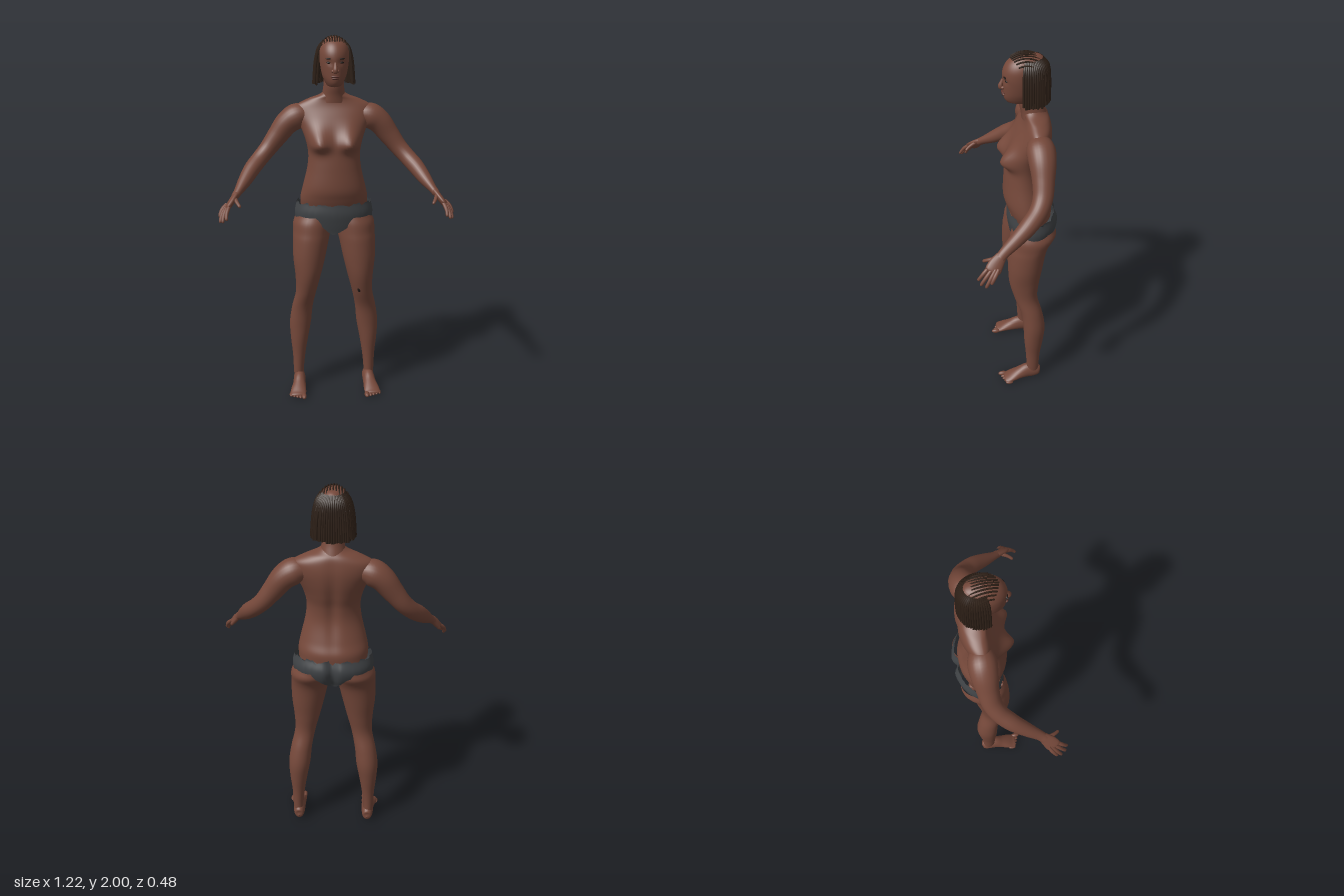
import * as THREE from 'three';

const mat = (name, color, side = THREE.FrontSide) => {
  const m = new THREE.MeshStandardMaterial({ color, side });
  m.name = name;
  return m;
};
const V = (a) => new THREE.Vector3(...a);
const gauss = (d, s) => Math.exp(-((d / s) ** 2));

// Surface wrapped around u (0..1), running along v (0..1)
function wrap(cols, rows, fn) {
  const pos = [], idx = [];
  for (let r = 0; r <= rows; r++)
    for (let c = 0; c < cols; c++) pos.push(...fn(c / cols, r / rows));
  for (let r = 0; r < rows; r++)
    for (let c = 0; c < cols; c++) {
      const a = r * cols + c, b = r * cols + ((c + 1) % cols);
      idx.push(a, b, a + cols, b, b + cols, a + cols);
    }
  const g = new THREE.BufferGeometry();
  g.setAttribute('position', new THREE.Float32BufferAttribute(pos, 3));
  g.setIndex(idx);
  g.computeVertexNormals();
  return g;
}

const curve = (list) => new THREE.CatmullRomCurve3(list, false, 'catmullrom', 0.5);

// Level sections [y, cx, cz, halfWidth, depthFront, depthBack]
function loft(sections, cols = 40, rows = 50, rule = (p) => p) {
  const mid = curve(sections.map((s) => V([s[1], s[0], s[2]])));
  const rad = curve(sections.map((s) => V([s[3], s[4], s[5]])));
  return wrap(cols, rows, (u, v) => {
    const a = u * Math.PI * 2, c = mid.getPoint(v), r = rad.getPoint(v);
    const depth = Math.max(0.0005, Math.cos(a) > 0 ? r.y : r.z);
    return rule([c.x + Math.max(0.0005, r.x) * Math.sin(a), c.y, c.z + depth * Math.cos(a)], Math.cos(a));
  });
}

// Path with sections [x, y, z, radiusAcross, radiusUp]
function limb(sections, ref = [0, 1, 0], cols = 18, rows = 32) {
  const mid = curve(sections.map((s) => V(s.slice(0, 3))));
  const rad = curve(sections.map((s) => V([s[3], s[4] ?? s[3], 0])));
  return wrap(cols, rows, (u, v) => {
    const a = u * Math.PI * 2, t = mid.getTangent(v), r = rad.getPoint(v);
    const side = V(ref).cross(t).normalize(), up = t.clone().cross(side);
    return mid.getPoint(v)
      .addScaledVector(side, Math.cos(a) * Math.max(0.0004, r.x))
      .addScaledVector(up, Math.sin(a) * Math.max(0.0004, r.y)).toArray();
  });
}

function blob(center, radii) {
  const g = new THREE.SphereGeometry(1, 18, 12);
  return g.scale(...radii).translate(...center);
}

function mirrored(geo) {
  const g = geo.clone().scale(-1, 1, 1), i = g.index.array;
  for (let k = 0; k < i.length; k += 3) [i[k], i[k + 1]] = [i[k + 1], i[k]];
  g.computeVertexNormals();
  return g;
}

export function createModel() {
  const model = new THREE.Group();
  model.name = 'figure';
  const skin = mat('skin', 0x75483a), hair = mat('hair', 0x2e2017, THREE.DoubleSide);
  const cloth = mat('cloth', 0x3f4245, THREE.DoubleSide);
  const lips = mat('lips', 0x5e352d), dark = mat('dark detail', 0x1d1613);
  const add = (name, geo, m = skin) => {
    const mesh = new THREE.Mesh(geo, m);
    mesh.name = name;
    model.add(mesh);
  };
  const pair = (name, geo, m = skin) => {
    add('left ' + name, geo, m);
    add('right ' + name, mirrored(geo), m);
  };

  // Torso, with chest volume and a spine groove
  add('torso', loft([
    [1.09, 0, -0.09, 0.18, 0.1, 0.12], [1.14, 0, -0.08, 0.182, 0.108, 0.13],
    [1.2, 0, -0.07, 0.17, 0.113, 0.117], [1.3, 0, -0.06, 0.146, 0.1, 0.1],
    [1.38, 0, -0.06, 0.138, 0.095, 0.102], [1.45, 0, -0.07, 0.15, 0.1, 0.11],
    [1.52, 0, -0.09, 0.175, 0.092, 0.105], [1.58, 0, -0.105, 0.2, 0.078, 0.095],
    [1.63, 0, -0.11, 0.2, 0.058, 0.085], [1.665, 0, -0.11, 0.14, 0.05, 0.075],
    [1.69, 0, -0.105, 0.075, 0.05, 0.06], [1.72, 0, -0.1, 0.04, 0.04, 0.045],
  ], 64, 70, ([x, y, z], front) => {
    if (front > 0) z += 0.05 * gauss(Math.abs(x) - 0.085, 0.05) * gauss(y - 1.44, y > 1.44 ? 0.075 : 0.036) * Math.min(1, front * 2);
    else z += 0.016 * gauss(x, 0.03) * gauss(y - 1.4, 0.2);
    return [x, y, z];
  }));

  // Neck and head
  add('neck', loft([
    [1.65, 0, -0.11, 0.075, 0.06, 0.075], [1.69, 0, -0.105, 0.062, 0.06, 0.065],
    [1.74, 0, -0.095, 0.054, 0.06, 0.06], [1.82, 0, -0.085, 0.052, 0.05, 0.06],
  ], 28, 14));
  add('head', loft([
    [1.734, 0, -0.04, 0.004, 0.004, 0.004], [1.742, 0, -0.045, 0.034, 0.058, 0.05],
    [1.755, 0, -0.05, 0.045, 0.08, 0.06], [1.775, 0, -0.05, 0.055, 0.088, 0.07],
    [1.8, 0, -0.05, 0.064, 0.09, 0.09], [1.84, 0, -0.05, 0.072, 0.092, 0.115],
    [1.88, 0, -0.05, 0.076, 0.095, 0.125], [1.92, 0, -0.055, 0.075, 0.093, 0.12],
    [1.955, 0, -0.062, 0.062, 0.078, 0.1], [1.98, 0, -0.07, 0.038, 0.048, 0.066],
    [1.992, 0, -0.075, 0.002, 0.002, 0.002],
  ], 40, 44, ([x, y, z], front) => {
    // Eye sockets
    if (front > 0) z -= 0.008 * gauss(Math.abs(x) - 0.03, 0.016) * gauss(y - 1.866, 0.014);
    return [x, y, z];
  }));
  add('nose', limb([
    [0, 1.872, 0.036, 0.005], [0, 1.85, 0.045, 0.009], [0, 1.83, 0.051, 0.013],
    [0, 1.819, 0.046, 0.012], [0, 1.813, 0.04, 0.001],
  ], [0, 0, 1], 14, 16));
  pair('nostril', blob([0.012, 1.824, 0.041], [0.009, 0.008, 0.011]));
  add('upper lip', blob([0, 1.796, 0.039], [0.023, 0.006, 0.01]), lips);
  add('lower lip', blob([0, 1.787, 0.037], [0.02, 0.007, 0.01]), lips);
  pair('eye', blob([0.03, 1.866, 0.027], [0.014, 0.006, 0.006]), dark);
  pair('eyebrow', blob([0.031, 1.886, 0.034], [0.018, 0.004, 0.006]), dark);

  // Hair: cornrows over the scalp, then two layers of hanging braids
  for (let k = -5; k <= 5; k++) {
    const x = k * 0.0125, w = Math.sqrt(1 - (x / 0.083) ** 2), pts = [];
    for (let i = 0; i <= 8; i++) {
      const a = THREE.MathUtils.lerp(0.92 + Math.abs(k) * 0.03, 3.0, i / 8);
      pts.push(V([x * (1 + 0.25 * i / 8), 1.882 + 0.111 * w * Math.sin(a), -0.065 + 0.118 * w * Math.cos(a)]));
    }
    add('cornrow', new THREE.TubeGeometry(curve(pts), 18, 0.0045, 5), hair);
  }
  let seed = 7;
  const rand = () => (seed = (seed * 16807) % 2147483647) / 2147483647;
  for (let layer = 0; layer < 2; layer++)
    for (let i = 0; i <= 34; i++) {
      const a = THREE.MathUtils.lerp(1.2, Math.PI * 2 - 1.2, (i + layer * 0.5) / 34.5);
      const s = Math.sin(a), c = Math.cos(a), o = 1 - layer * 0.09;
      const at = (r, y, d) => V([s * r * o, y, -0.085 + c * d * o]);
      const jitter = (rand() - 0.5) * 0.006;
      add('braid', new THREE.TubeGeometry(curve([
        at(0.052, 1.968 - layer * 0.02, 0.062), at(0.082, 1.93, 0.092), at(0.096 + jitter, 1.87, 0.1),
        at(0.103 + jitter, 1.8, 0.102), at(0.106 + jitter, 1.742 + rand() * 0.014, 0.102),
      ]), 14, 0.0062, 5), hair);
    }
  const curtain = new THREE.CylinderGeometry(0.082, 0.094, 0.14, 32, 1, true, 1.25, Math.PI * 2 - 2.5);
  add('hair curtain', curtain.translate(0, 1.82, -0.085), hair);

  // Arms
  pair('arm', limb([
    [0.13, 1.585, -0.115, 0.045, 0.05], [0.19, 1.575, -0.118, 0.068, 0.07], [0.245, 1.54, -0.12, 0.064, 0.068],
    [0.3, 1.47, -0.117, 0.055, 0.056], [0.35, 1.405, -0.108, 0.047, 0.05], [0.395, 1.355, -0.08, 0.044, 0.046],
    [0.437, 1.31, -0.03, 0.043, 0.044], [0.475, 1.26, 0.035, 0.035, 0.036], [0.508, 1.218, 0.095, 0.022, 0.027],
    [0.525, 1.198, 0.12, 0.02, 0.025],
  ], [0, 0, 1], 24, 48));

  // Hands
  pair('palm', limb([
    [0.505, 1.222, 0.09, 0.018, 0.022], [0.525, 1.198, 0.12, 0.03, 0.017], [0.545, 1.172, 0.145, 0.038, 0.016],
    [0.562, 1.15, 0.16, 0.036, 0.013], [0.568, 1.142, 0.166, 0.002, 0.002],
  ], [0.75, 0.65, -0.1], 18, 18));
  const fingers = [
    ['index finger', [0.55, 1.16, 0.182], [0.565, 1.103, 0.233]],
    ['middle finger', [0.56, 1.155, 0.167], [0.585, 1.088, 0.222]],
    ['ring finger', [0.568, 1.152, 0.152], [0.6, 1.082, 0.198]],
    ['little finger', [0.572, 1.156, 0.137], [0.604, 1.104, 0.172]],
    ['thumb', [0.522, 1.195, 0.135], [0.494, 1.163, 0.202]],
  ];
  for (const [name, from, to] of fingers) {
    const p = (t, r, lift) => {
      const q = V(from).lerp(V(to), t);
      return [q.x + lift, q.y + lift, q.z, r];
    };
    pair(name, limb([p(-0.15, 0.009, 0), p(0.3, 0.0105, 0.004), p(0.65, 0.009, 0.004), p(0.92, 0.0075, 0), p(1, 0.001, 0)],
      [1, 0, 0], 10, 14));
  }

  // Legs
  pair('leg', loft([
    [0.04, 0.2, -0.1, 0.028, 0.035, 0.036], [0.1, 0.203, -0.1, 0.029, 0.035, 0.035],
    [0.2, 0.2, -0.1, 0.036, 0.041, 0.042], [0.3, 0.197, -0.1, 0.049, 0.05, 0.057],
    [0.4, 0.19, -0.1, 0.06, 0.055, 0.066], [0.5, 0.178, -0.09, 0.058, 0.057, 0.06],
    [0.6, 0.157, -0.065, 0.057, 0.067, 0.06], [0.7, 0.145, -0.06, 0.071, 0.088, 0.075],
    [0.8, 0.138, -0.06, 0.088, 0.095, 0.093], [0.9, 0.128, -0.075, 0.099, 0.108, 0.096],
    [0.95, 0.121, -0.09, 0.104, 0.117, 0.1], [1.0, 0.115, -0.1, 0.107, 0.121, 0.122],
    [1.04, 0.105, -0.1, 0.098, 0.108, 0.122],
  ], 32, 56));
  add('thigh mark', blob([0.135, 0.625, 0.003], [0.009, 0.018, 0.004]), dark);

  // Feet
  pair('foot', limb([
    [0.198, 0.035, -0.146, 0.002, 0.002], [0.198, 0.036, -0.136, 0.024, 0.03], [0.199, 0.046, -0.11, 0.032, 0.045],
    [0.2, 0.049, -0.07, 0.034, 0.048], [0.203, 0.037, -0.025, 0.037, 0.036], [0.208, 0.026, 0.015, 0.043, 0.025],
    [0.211, 0.017, 0.045, 0.044, 0.016], [0.211, 0.013, 0.064, 0.036, 0.011], [0.211, 0.012, 0.07, 0.002, 0.002],
  ], [0, 1, 0], 24, 32));
  for (let i = 0; i < 5; i++) {
    const r = i ? 0.0095 : 0.0135;
    pair('toe', blob([0.178 + i * 0.0175 + (i ? 0.003 : 0), r, 0.074 - i * 0.008], [r, r, i ? 0.022 : 0.027]));
  }

  // Briefs, with a cut-away leg line, ragged hems and a groove at the back
  const hip = curve([[0.195, 0.108, 0.1], [0.207, 0.118, 0.132], [0.213, 0.124, 0.144], [0.202, 0.118, 0.125]].map(V));
  add('briefs', wrap(96, 16, (u, v) => {
    const a = u * Math.PI * 2, s = Math.sin(a), c = Math.cos(a);
    const ragged = 0.005 * Math.sign(Math.sin(a * 13)) + 0.003 * Math.sin(a * 29);
    const low = 1.022 - 0.075 * gauss(s, c > 0 ? 0.38 : 0.3) + ragged * 0.6;
    const y = THREE.MathUtils.lerp(low, 1.112 + ragged, v);
    const r = hip.getPoint(THREE.MathUtils.clamp((y - 0.95) / 0.162, 0, 1));
    const x = r.x * s;
    const z = -0.1 + c * (c > 0 ? r.y : r.z) + (c < 0 ? 0.026 * gauss(x, 0.025) : 0);
    return [x, y, z];
  }), cloth);
  add('briefs gusset', blob([0, 0.985, -0.095], [0.04, 0.036, 0.1]), cloth);

  return model;
}
